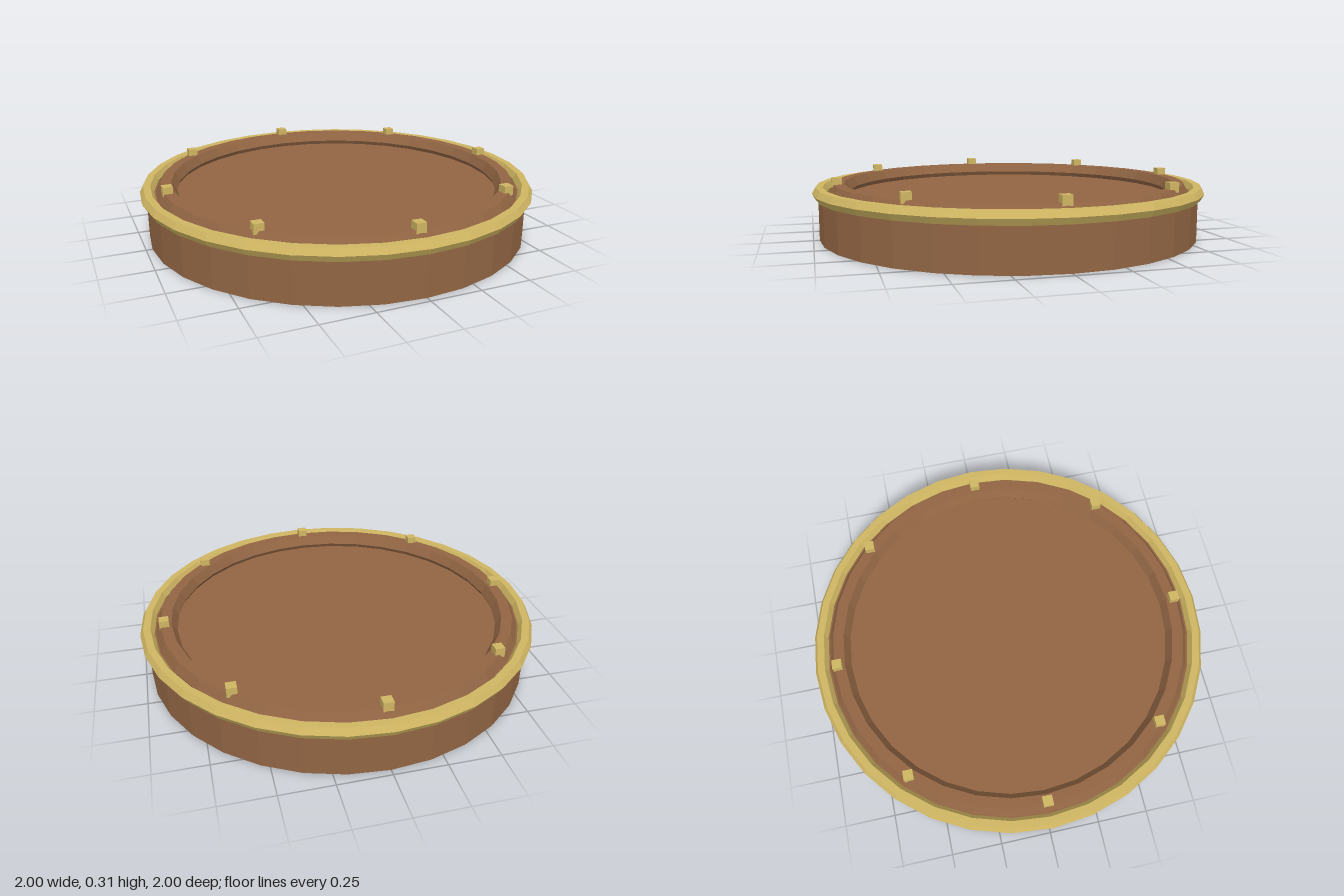
import * as THREE from 'three';

const SIDES = 32;

export function createModel() {
  const model = new THREE.Group();
  model.name = 'roundTray';

  const wood = new THREE.MeshStandardMaterial({ color: 0x916543, flatShading: true });
  wood.name = 'brown wood';
  const brass = new THREE.MeshStandardMaterial({ color: 0xcfb562, flatShading: true });
  brass.name = 'pale brass';

  const add = (name, geometry, material, x, y, z) => {
    const mesh = new THREE.Mesh(geometry, material);
    mesh.name = name;
    mesh.position.set(x, y, z);
    model.add(mesh);
  };

  // Horizontal ring with a six-sided cross-section
  const ring = (radius, tube) =>
    new THREE.TorusGeometry(radius, tube, 6, SIDES).rotateX(-Math.PI / 2);

  // Solid drum, whose top is the tray floor
  add('base', new THREE.CylinderGeometry(0.97, 0.97, 0.21, SIDES), wood, 0, 0.105, 0);

  // Outer trim and raised inner rim
  add('outerTrim', ring(0.965, 0.035), brass, 0, 0.235, 0);
  add('innerRim', ring(0.87, 0.053), wood, 0, 0.232, 0);

  // Eight square studs, all aligned with the axes
  const stud = new THREE.BoxGeometry(0.048, 0.048, 0.048);
  for (let i = 0; i < 8; i++) {
    const a = (i * Math.PI) / 4;
    add('stud' + (i + 1), stud, brass, 0.878 * Math.cos(a), 0.288, 0.878 * Math.sin(a));
  }

  return model;
}
